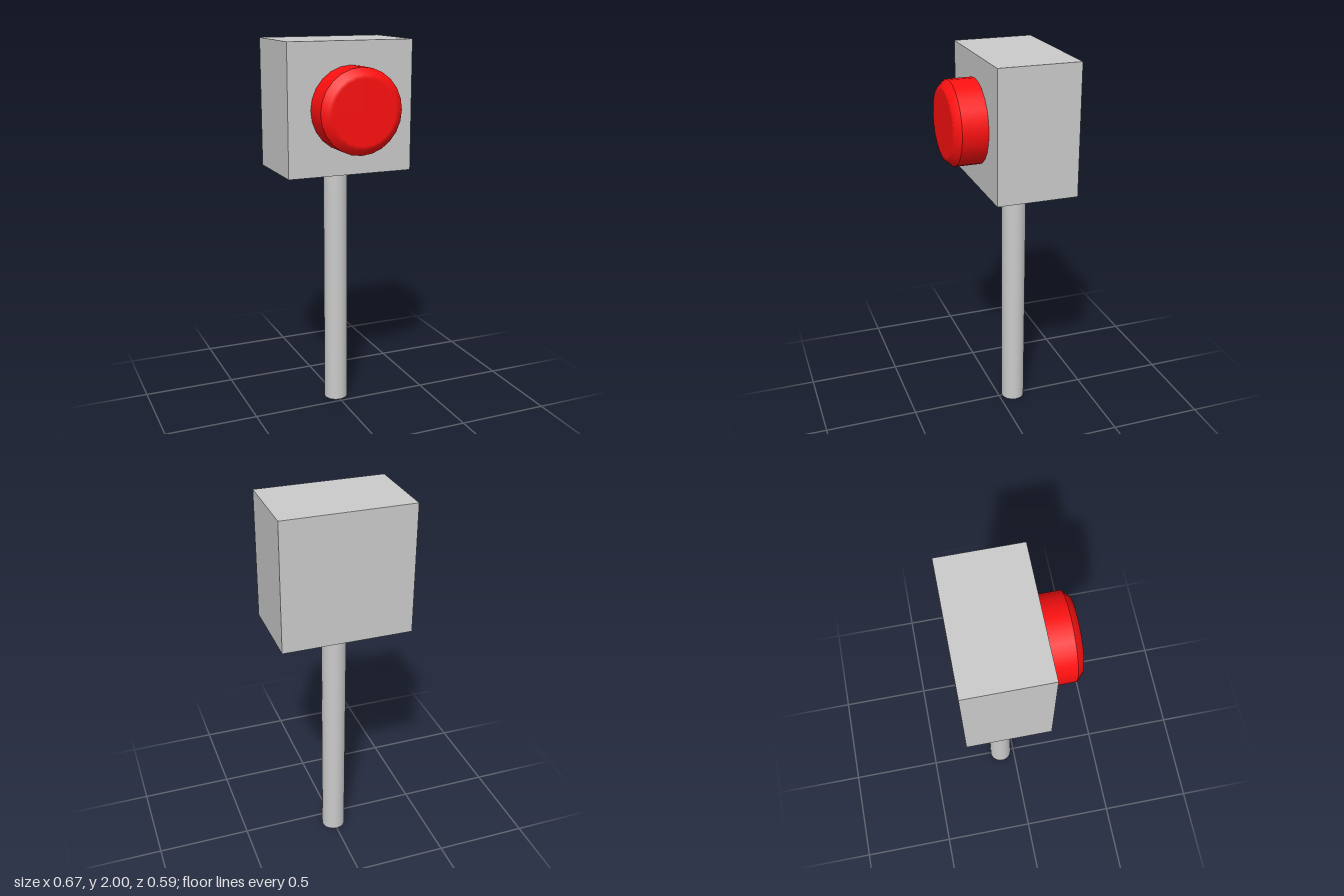
import * as THREE from 'three';

const CENTER_Z = -0.084;
const BOX_FRONT = 0.127;

function part(name, geometry, color, x, y, z) {
  const mesh = new THREE.Mesh(geometry, new THREE.MeshStandardMaterial({ color }));
  mesh.name = name;
  mesh.position.set(x, y, z);
  return mesh;
}

// Surface of revolution whose axis points forward (+z)
function forwardLathe(profile, segments) {
  const points = profile.map(([r, h]) => new THREE.Vector2(r, h));
  return new THREE.LatheGeometry(points, segments).rotateX(Math.PI / 2);
}

export function createModel() {
  const model = new THREE.Group();
  model.name = 'buttonPost';

  // Upright pole carrying the housing
  const poleHeight = 1.327;
  model.add(part('pole', new THREE.CylinderGeometry(0.064, 0.064, poleHeight, 24),
    0xcccccc, 0, poleHeight / 2, -0.082));

  // Square housing
  model.add(part('housing', new THREE.BoxGeometry(0.674, 0.673, 0.422),
    0xcccccc, 0, 1.6635, CENTER_Z));

  // Push button: straight rim, then a bevel blending softly into the flat face
  const button = new THREE.Group();
  button.name = 'button';
  const red = 0xff1010;
  const rim = forwardLathe([[0.217, 0], [0.217, 0.133]], 24);
  const face = forwardLathe([[0.217, 0.133], [0.185, 0.167], [0.165, 0.167], [0, 0.167]], 24);
  button.add(part('buttonRim', rim, red, 0, 0, 0));
  button.add(part('buttonFace', face, red, 0, 0, 0));
  button.position.set(0, 1.664, BOX_FRONT);
  model.add(button);

  return model;
}
